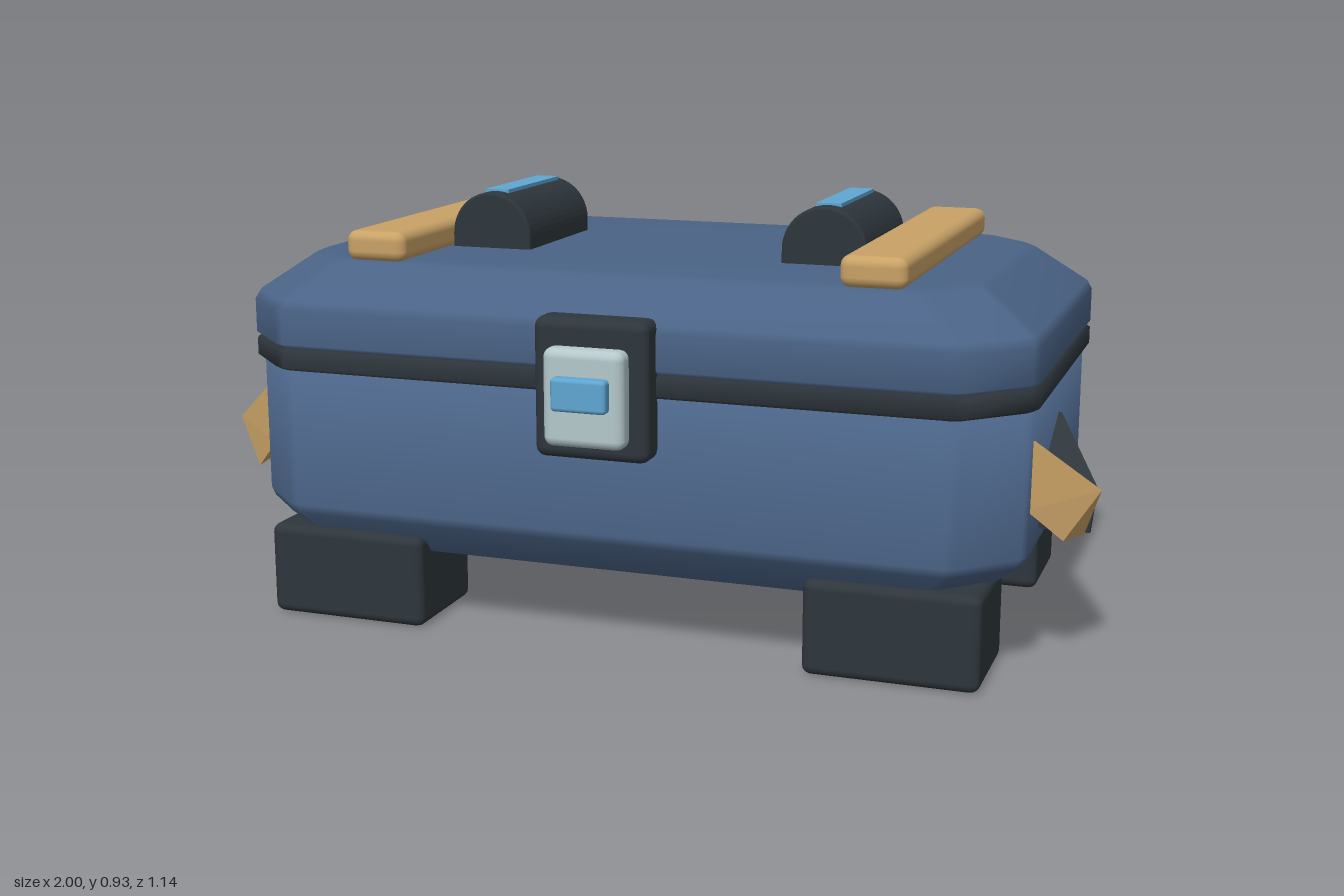
import * as THREE from 'three';
import { RoundedBoxGeometry } from 'three/addons/geometries/RoundedBoxGeometry.js';
import { ConvexGeometry } from 'three/addons/geometries/ConvexGeometry.js';

const mat = (name, color) => {
  const m = new THREE.MeshStandardMaterial({ color });
  m.name = name;
  return m;
};

// Octagonal ring (chamfered rectangle) whose eight corners are softened
function ring(hx, hz, chamfer, y, r = 0.014) {
  const c = chamfer;
  const o = [
    [hx, hz - c], [hx - c, hz], [-hx + c, hz], [-hx, hz - c],
    [-hx, -hz + c], [-hx + c, -hz], [hx - c, -hz], [hx, -hz + c],
  ].map(([x, z]) => new THREE.Vector2(x, z));
  const pts = [];
  o.forEach((p, i) => {
    for (const q of [o[(i + 7) % 8], o[(i + 1) % 8]]) {
      const s = q.clone().sub(p).setLength(r).add(p);
      pts.push(s.x, y, s.y);
    }
  });
  return pts;
}

// Shell lofted bottom to top through rows of [y, half width, half depth, chamfer]
function loft(rows) {
  const n = 16, pos = [], idx = [];
  rows.forEach(([y, hx, hz, c]) => pos.push(...ring(hx, hz, c, y)));
  for (let j = 0; j < rows.length - 1; j++) {
    for (let i = 0; i < n; i++) {
      const a = j * n + i, b = j * n + (i + 1) % n;
      idx.push(a, a + n, b, b, a + n, b + n);
    }
  }
  const low = pos.length / 3, high = low + 1, last = (rows.length - 1) * n;
  pos.push(0, rows[0][0], 0, 0, rows[rows.length - 1][0], 0);
  for (let i = 0; i < n; i++) {
    const k = (i + 1) % n;
    idx.push(low, i, k, high, last + k, last + i);
  }
  const g = new THREE.BufferGeometry();
  g.setAttribute('position', new THREE.Float32BufferAttribute(pos, 3));
  g.setIndex(idx);
  g.computeVertexNormals();
  return g;
}

export function createModel() {
  const model = new THREE.Group();
  model.name = 'chest';
  const blue = mat('slate blue', 0x4a6386);
  const dark = mat('charcoal', 0x2e363c);
  const tan = mat('tan', 0xc9a266);
  const silver = mat('pale silver', 0xb4c8cb);
  const sky = mat('sky blue', 0x5fa6d2);

  const add = (name, geo, material, x = 0, y = 0, z = 0) => {
    const m = new THREE.Mesh(geo, material);
    m.name = name;
    m.position.set(x, y, z);
    model.add(m);
    return m;
  };
  // Rounded box given by its limits on each axis
  const box = (name, material, [x0, x1], [y0, y1], [z0, z1], r) =>
    add(name, new RoundedBoxGeometry(x1 - x0, y1 - y0, z1 - z0, 2, r), material,
      (x0 + x1) / 2, (y0 + y1) / 2, (z0 + z1) / 2);

  // Body, seam band and lid
  add('body', loft([
    [0.16, 0.75, 0.42, 0.1], [0.165, 0.765, 0.432, 0.1], [0.24, 0.858, 0.49, 0.125],
    [0.26, 0.867, 0.497, 0.13], [0.575, 0.867, 0.497, 0.13],
  ]), blue, 0, 0, -0.058);
  add('seamBand', loft([
    [0.56, 0.865, 0.495, 0.13], [0.57, 0.88, 0.508, 0.13],
    [0.607, 0.88, 0.508, 0.13], [0.617, 0.865, 0.495, 0.13],
  ]), dark, 0, 0, -0.06);
  add('lid', loft([
    [0.612, 0.868, 0.498, 0.13], [0.622, 0.88, 0.51, 0.13], [0.697, 0.88, 0.51, 0.13],
    [0.717, 0.87, 0.502, 0.13], [0.795, 0.762, 0.422, 0.11], [0.805, 0.74, 0.405, 0.105],
  ]), blue, 0, 0, -0.06);

  // Front latch
  box('latchPlate', dark, [-0.125, 0.125], [0.435, 0.73], [0.42, 0.502], 0.022);
  box('latchFace', silver, [-0.088, 0.088], [0.47, 0.675], [0.49, 0.546], 0.02);
  box('latchButton', sky, [-0.06, 0.06], [0.55, 0.62], [0.535, 0.57], 0.009);

  // Arched cross-section of the top grips
  const r = 0.094;
  const arch = new THREE.Shape();
  arch.moveTo(-r, -0.04);
  arch.lineTo(r, -0.04);
  arch.lineTo(r, 0);
  arch.absarc(0, 0, r, 0, Math.PI, false);
  arch.closePath();
  const archGeo = new THREE.ExtrudeGeometry(arch, {
    depth: 0.343, curveSegments: 12,
    bevelSize: 0.006, bevelThickness: 0.006, bevelOffset: -0.006, bevelSegments: 2,
  });

  // Side bracket corner points, drawn for the left side
  const knuckle = [
    [0.85, 0.512, 0.288], [0.85, 0.505, 0.26], [0.85, 0.455, 0.15], [0.86, 0.355, 0.29],
    [0.92, 0.41, 0.125], [0.998, 0.388, 0.205], [0.985, 0.375, 0.167],
    [0.962, 0.282, 0.17], [0.93, 0.285, 0.245], [0.85, 0.35, 0.15],
  ];
  const arm = [
    [0.985, 0.38, 0.162], [0.972, 0.285, 0.168], [0.97, 0.275, 0.13],
    [0.875, 0.483, -0.06], [0.85, 0.483, -0.075], [0.87, 0.405, -0.078],
    [0.85, 0.405, -0.078], [0.85, 0.38, 0.16], [0.85, 0.285, 0.168], [0.85, 0.275, 0.13],
  ];
  const hull = (pts, s) =>
    new ConvexGeometry(pts.map(([x, y, z]) => new THREE.Vector3(s * x, y, z)));

  for (const s of [1, -1]) {
    const side = s > 0 ? 'left' : 'right';
    const span = (a, b) => (s > 0 ? [a, b] : [-b, -a]);

    // Feet
    box(side + 'FrontFoot', dark, span(0.43, 0.8), [0, 0.205], [0.173, 0.427], 0.02);
    box(side + 'BackFoot', dark, span(0.43, 0.8), [0, 0.205], [-0.543, -0.289], 0.02);

    // Lid strap
    box(side + 'Strap', tan, span(0.48, 0.62), [0.8, 0.866], [-0.485, 0.368], 0.022);

    // Top grip with inlay strip
    add(side + 'Grip', archGeo, dark, s * 0.385, 0.835, -0.229);
    add(side + 'GripInlay', new THREE.BoxGeometry(0.055, 0.009, 0.295), sky,
      s * 0.385, 0.9285, -0.064);

    // Angled side bracket
    add(side + 'BracketKnuckle', hull(knuckle, s), tan);
    add(side + 'BracketArm', hull(arm, s), dark);
  }
  return model;
}
